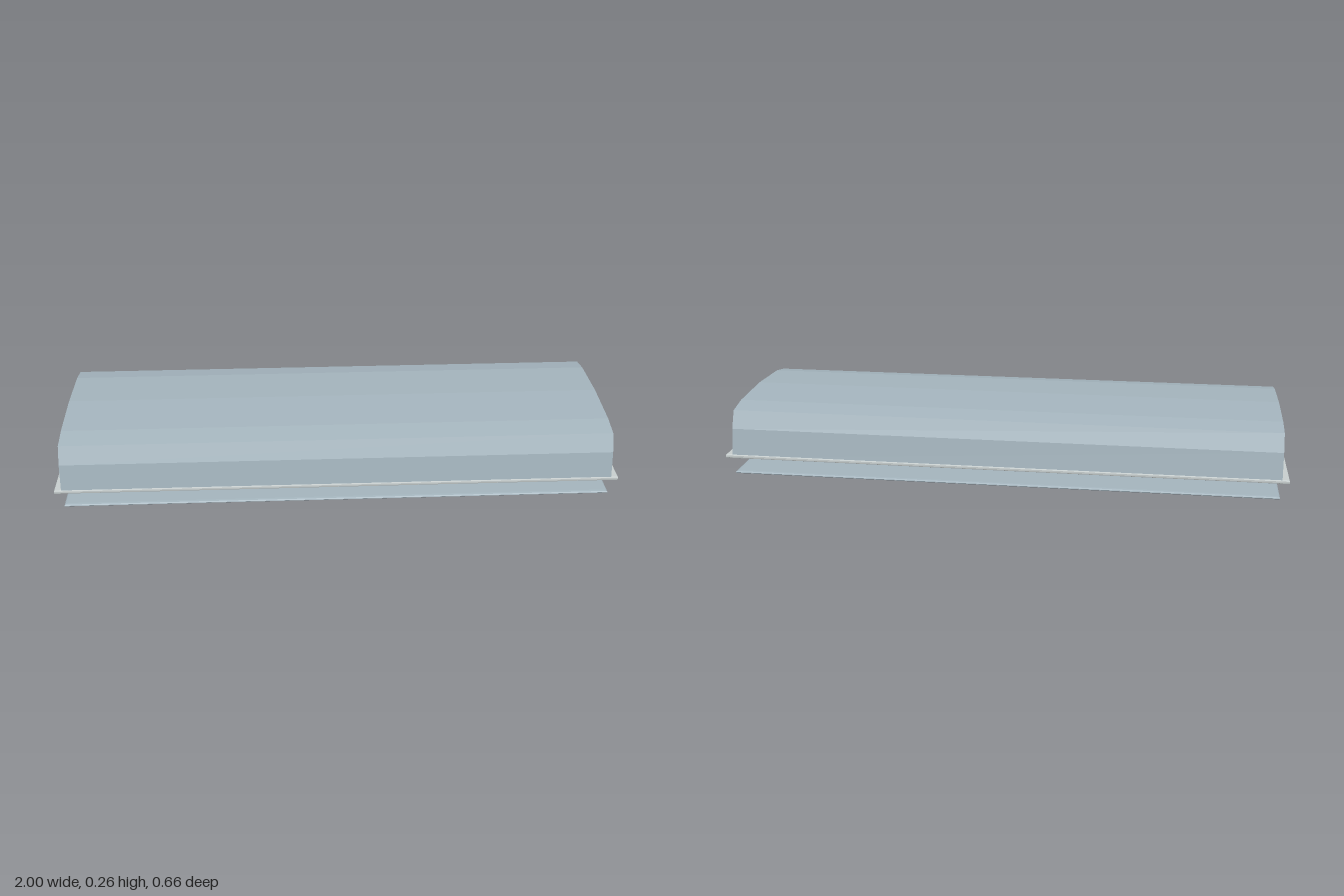
import * as THREE from 'three';

const flat = (name, color) => Object.assign(new THREE.MeshStandardMaterial({ color }), { name });

// Rectangle path centred on the origin
function rect(target, hx, hz) {
  target.moveTo(-hx, -hz);
  target.lineTo(hx, -hz);
  target.lineTo(hx, hz);
  target.lineTo(-hx, hz);
  target.closePath();
  return target;
}

// Horizontal slab with bevelled rims, from y0 up to y0 + height
function slab(shape, y0, height, bevel, bevelY) {
  const geo = new THREE.ExtrudeGeometry(shape, {
    depth: height - 2 * bevelY, bevelEnabled: true,
    bevelSize: bevel, bevelOffset: -bevel, bevelThickness: bevelY, bevelSegments: 2,
  });
  geo.rotateX(-Math.PI / 2);
  geo.translate(0, y0 + bevelY, 0);
  return geo;
}

export function createModel() {
  const group = new THREE.Group();
  const shellMat = flat('blueGreyShell', 0xa3b3bc);
  const frameMat = flat('paleGreyFrame', 0xc6cdcd);
  const rodMat = flat('copper', 0xb98763);

  const add = (name, geo, mat, parent = group) => {
    const mesh = new THREE.Mesh(geo, mat);
    mesh.name = name;
    parent.add(mesh);
    return mesh;
  };

  // Arched cover: outer and inner outlines (z, y), mirrored and swept along x
  const mirror = (half) => [...half, ...half.slice(0, -1).reverse().map(([z, y]) => [-z, y])];
  const outer = mirror([[0.329, 0.065], [0.313, 0.17], [0.286, 0.232], [0.205, 0.247], [0, 0.256]]);
  const inner = mirror([[0.321, 0.065], [0.305, 0.169], [0.28, 0.225], [0.204, 0.239], [0, 0.248]]);
  const outline = [...outer, ...inner.reverse()].map(([z, y]) => new THREE.Vector2(z, y));
  const cover = new THREE.ExtrudeGeometry(new THREE.Shape(outline), { depth: 1.95, bevelEnabled: false });
  cover.translate(0, 0, -0.975);
  cover.rotateY(Math.PI / 2);
  add('cover', cover, shellMat);

  // Open rim under the cover
  const rim = rect(new THREE.Shape(), 1, 0.33);
  rim.holes.push(rect(new THREE.Path(), 0.955, 0.285));
  add('rimFrame', slab(rim, 0.063, 0.014, 0.004, 0.004), frameMat);

  // Floor plate with tapered edges
  add('basePlate', slab(rect(new THREE.Shape(), 0.972, 0.318), 0, 0.01, 0.012, 0.004), shellMat);

  // Three stacked grids of rods
  const radius = 0.0068;
  const longRod = new THREE.CylinderGeometry(radius, radius, 1.85, 12).rotateZ(Math.PI / 2);
  const crossRod = new THREE.CylinderGeometry(radius, radius, 0.468, 12).rotateX(Math.PI / 2);
  for (let layer = 0; layer < 3; layer++) {
    const grid = new THREE.Group();
    grid.name = 'rodGrid' + (layer + 1);
    grid.position.y = 0.054 + layer * 0.0335;
    group.add(grid);
    for (let i = 0; i < 7; i++) {
      add('longRod', longRod, rodMat, grid).position.z = 0.209 - i * 0.0637;
    }
    for (let i = 0; i < 14; i++) {
      add('crossRod', crossRod, rodMat, grid).position.set(-0.9 + i * 0.136, 0.0075, 0);
    }
  }
  return group;
}
